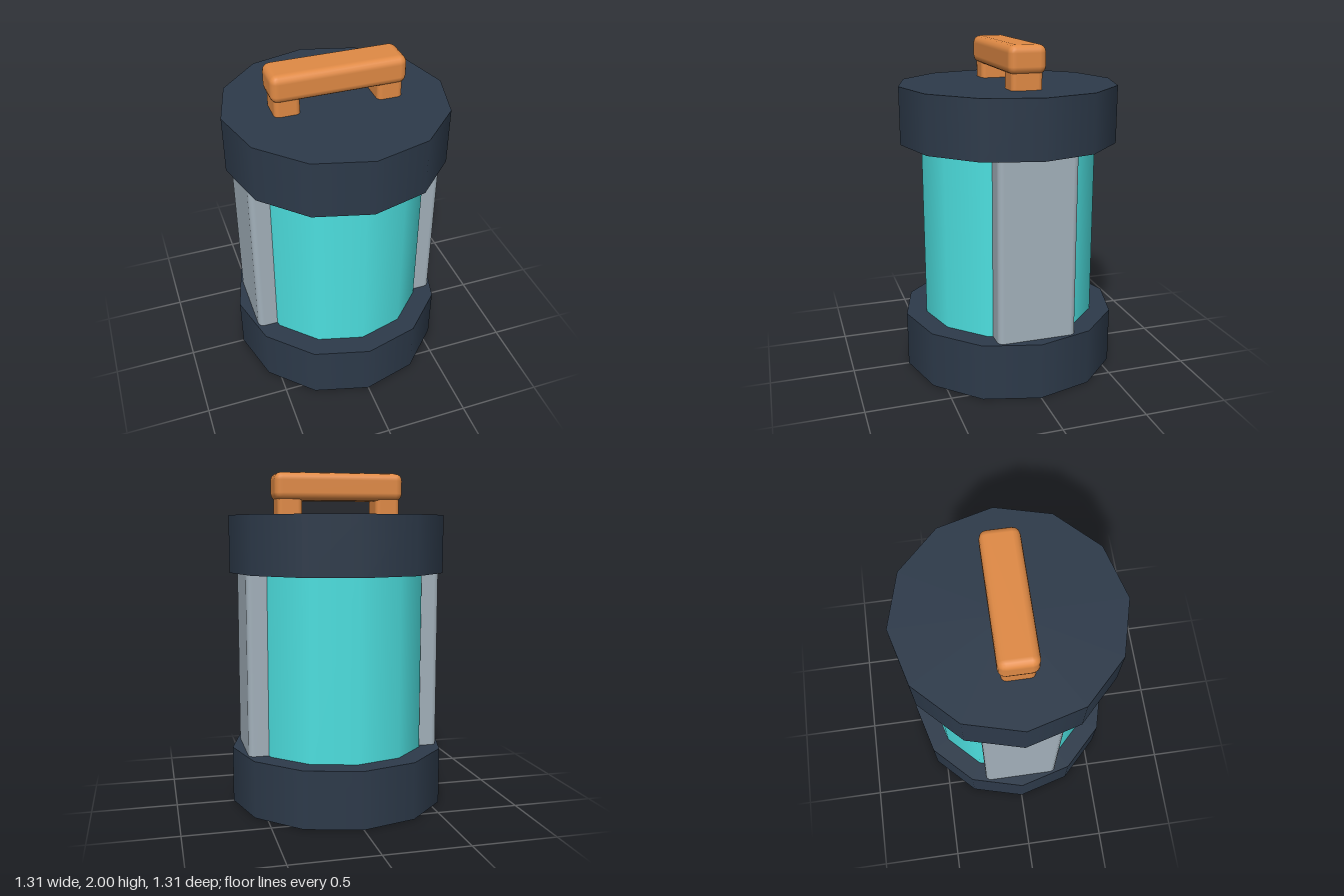
import * as THREE from 'three';
import { RoundedBoxGeometry } from 'three/addons/geometries/RoundedBoxGeometry.js';

const mat = (color) => new THREE.MeshStandardMaterial({ color });

export function createModel() {
  const group = new THREE.Group();
  const navy = mat(0x2d3a4a);
  const teal = mat(0x4de0e0);
  const grey = mat(0xa3b1bb);
  const orange = mat(0xe08a45);

  const add = (name, geometry, material, x, y, z = 0) => {
    const mesh = new THREE.Mesh(geometry, material);
    mesh.name = name;
    mesh.position.set(x, y, z);
    group.add(mesh);
  };

  // Twelve-sided end caps
  const cap = new THREE.CylinderGeometry(0.655, 0.655, 0.34, 12);
  add('bottomCap', cap, navy, 0, 0.17);
  add('topCap', cap, navy, 0, 1.58);

  // Inner cell, running a little way into both caps
  add('cell', new THREE.CylinderGeometry(0.53, 0.53, 1.15, 12), teal, 0, 0.875);

  // Side panels and handle posts, mirrored left and right
  const panel = new RoundedBoxGeometry(0.18, 1.2, 0.47, 2, 0.035);
  const post = new RoundedBoxGeometry(0.15, 0.2, 0.185, 2, 0.03);
  for (const [side, s] of [['left', 1], ['right', -1]]) {
    add(side + 'Panel', panel, grey, s * 0.495, 0.875);
    add(side + 'HandlePost', post, orange, s * 0.3, 1.8);
  }

  // Carrying handle
  add('handleBar', new RoundedBoxGeometry(0.785, 0.165, 0.222, 2, 0.045), orange, 0, 1.9175);

  return group;
}
